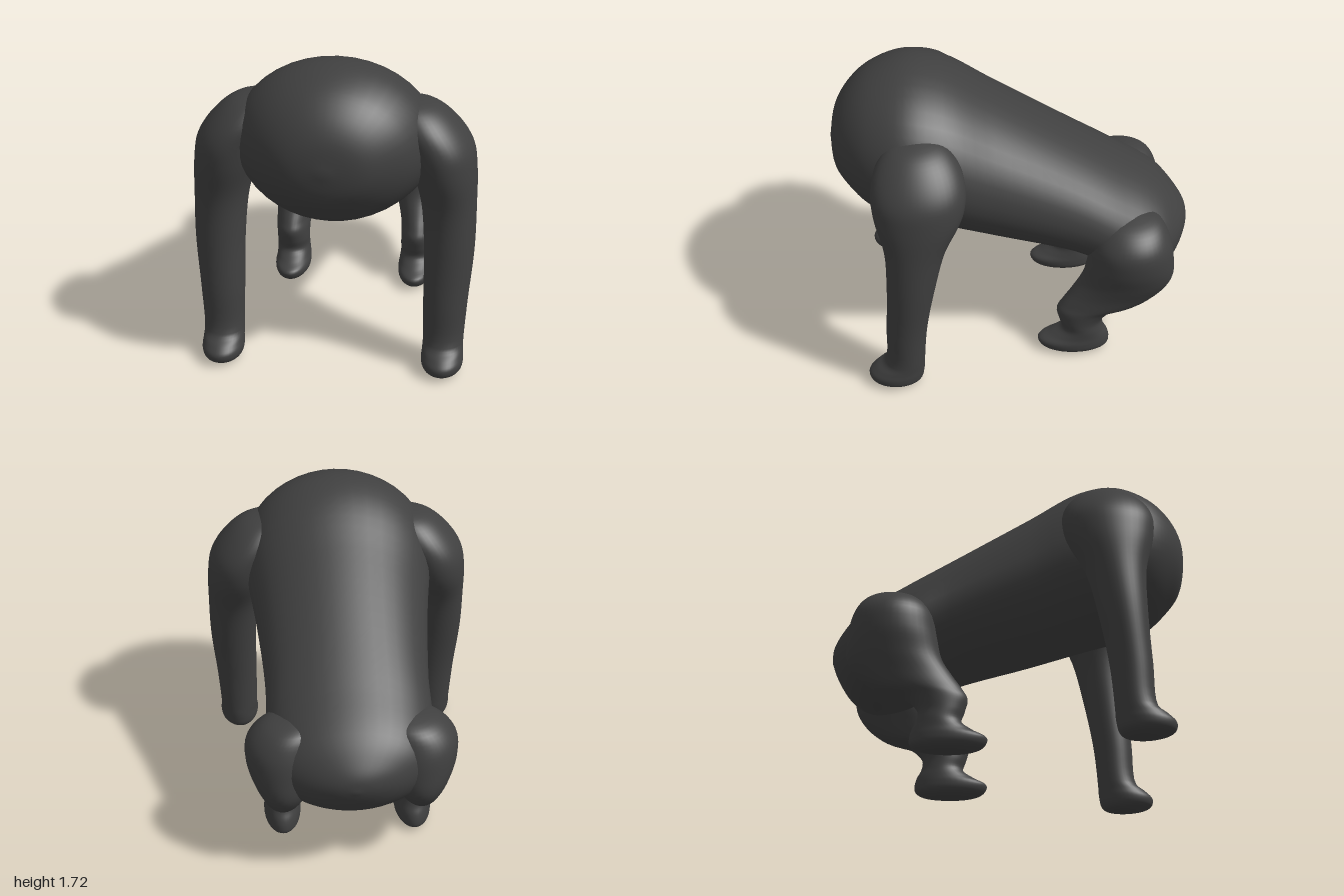
import * as THREE from 'three';
import { mergeVertices } from 'three/addons/utils/BufferGeometryUtils.js';

const SIDES = 40, STEPS = 5;
const hide = new THREE.MeshStandardMaterial({ color: 0x404040 });
hide.name = 'charcoal hide';

// Smooth closed skin over rings of points (first and last ring shrink to a point).
function skin(rings) {
  const pos = [], index = [];
  const count = (rings.length - 1) * STEPS;
  for (let j = 0; j < SIDES; j++) {
    const curve = new THREE.CatmullRomCurve3(rings.map(r => r[j]));
    curve.getPoints(count).forEach(p => pos.push(p.x, Math.max(p.y, 0), p.z));
  }
  const id = (i, j) => (j % SIDES) * (count + 1) + i;
  for (let i = 0; i < count; i++) {
    for (let j = 0; j < SIDES; j++) {
      const a = id(i, j), b = id(i, j + 1), c = id(i + 1, j), d = id(i + 1, j + 1);
      index.push(a, c, b, b, c, d);
    }
  }
  let geo = new THREE.BufferGeometry();
  geo.setAttribute('position', new THREE.Float32BufferAttribute(pos, 3));
  geo.setIndex(index);
  geo = mergeVertices(geo, 1e-4);
  geo.computeVertexNormals();
  return geo;
}

const around = fn => Array.from({ length: SIDES }, (_, j) => {
  const a = j / SIDES * Math.PI * 2;
  return fn(Math.cos(a), Math.sin(a));
});

// Torso section: top z, top y, bottom z, bottom y, half width
const torso = [
  [1.0, 1.28, 1.0, 1.28, 0],
  [0.97, 1.44, 0.97, 1.12, 0.2],
  [0.9, 1.56, 0.89, 1.01, 0.33],
  [0.78, 1.66, 0.79, 0.92, 0.44],
  [0.58, 1.72, 0.66, 0.87, 0.52],
  [0.38, 1.68, 0.4, 0.79, 0.53],
  [0.1, 1.51, 0.1, 0.69, 0.49],
  [-0.3, 1.26, -0.35, 0.55, 0.45],
  [-0.6, 1.07, -0.62, 0.42, 0.45],
  [-0.83, 0.92, -0.78, 0.4, 0.41],
  [-0.93, 0.82, -0.89, 0.46, 0.28],
  [-0.99, 0.73, -0.97, 0.58, 0.12],
  [-1.0, 0.66, -1.0, 0.66, 0],
];

// Limb section: y, centre x, centre z, half width, half depth
const foreLimb = [
  [0, 0.6, 0.66, 0, 0],
  [0.005, 0.6, 0.665, 0.07, 0.1],
  [0.03, 0.605, 0.685, 0.105, 0.145],
  [0.07, 0.605, 0.685, 0.115, 0.155],
  [0.11, 0.605, 0.665, 0.112, 0.14],
  [0.16, 0.605, 0.635, 0.11, 0.112],
  [0.4, 0.61, 0.615, 0.12, 0.113],
  [0.7, 0.62, 0.58, 0.135, 0.132],
  [0.95, 0.61, 0.55, 0.147, 0.165],
  [1.15, 0.58, 0.525, 0.172, 0.235],
  [1.28, 0.55, 0.52, 0.18, 0.25],
  [1.4, 0.48, 0.52, 0.17, 0.22],
  [1.49, 0.42, 0.52, 0.12, 0.14],
  [1.53, 0.38, 0.52, 0, 0],
];
const hindLimb = [
  [0, 0.375, -0.34, 0, 0],
  [0.005, 0.375, -0.345, 0.07, 0.15],
  [0.03, 0.375, -0.34, 0.098, 0.195],
  [0.07, 0.375, -0.335, 0.105, 0.205],
  [0.11, 0.375, -0.365, 0.1, 0.165],
  [0.16, 0.378, -0.385, 0.097, 0.12],
  [0.22, 0.378, -0.375, 0.097, 0.125],
  [0.29, 0.38, -0.4, 0.1, 0.165],
  [0.34, 0.38, -0.49, 0.11, 0.23],
  [0.42, 0.375, -0.57, 0.13, 0.255],
  [0.52, 0.37, -0.63, 0.165, 0.255],
  [0.65, 0.37, -0.645, 0.2, 0.24],
  [0.78, 0.365, -0.645, 0.2, 0.215],
  [0.88, 0.33, -0.65, 0.14, 0.15],
  [0.92, 0.3, -0.65, 0, 0],
];

export function createModel() {
  const model = new THREE.Group();
  model.name = 'headlessQuadruped';
  const add = (name, rings) => {
    const mesh = new THREE.Mesh(skin(rings), hide);
    mesh.name = name;
    model.add(mesh);
  };

  // Sloping body with a rounded chest and rump
  add('torso', torso.map(([tz, ty, bz, by, w]) => around((c, s) => new THREE.Vector3(
    w * c, (ty + by) / 2 + s * (ty - by) / 2, (tz + bz) / 2 + s * (tz - bz) / 2))));

  // Long forelimbs and short hind limbs, each with its foot
  for (const [side, sign] of [['left', 1], ['right', -1]]) {
    for (const [part, sections] of [['Forelimb', foreLimb], ['HindLimb', hindLimb]]) {
      add(side + part, sections.map(([y, x, z, rx, rz]) => around((c, s) =>
        new THREE.Vector3(sign * x + rx * c, y, z + rz * s))));
    }
  }
  return model;
}
